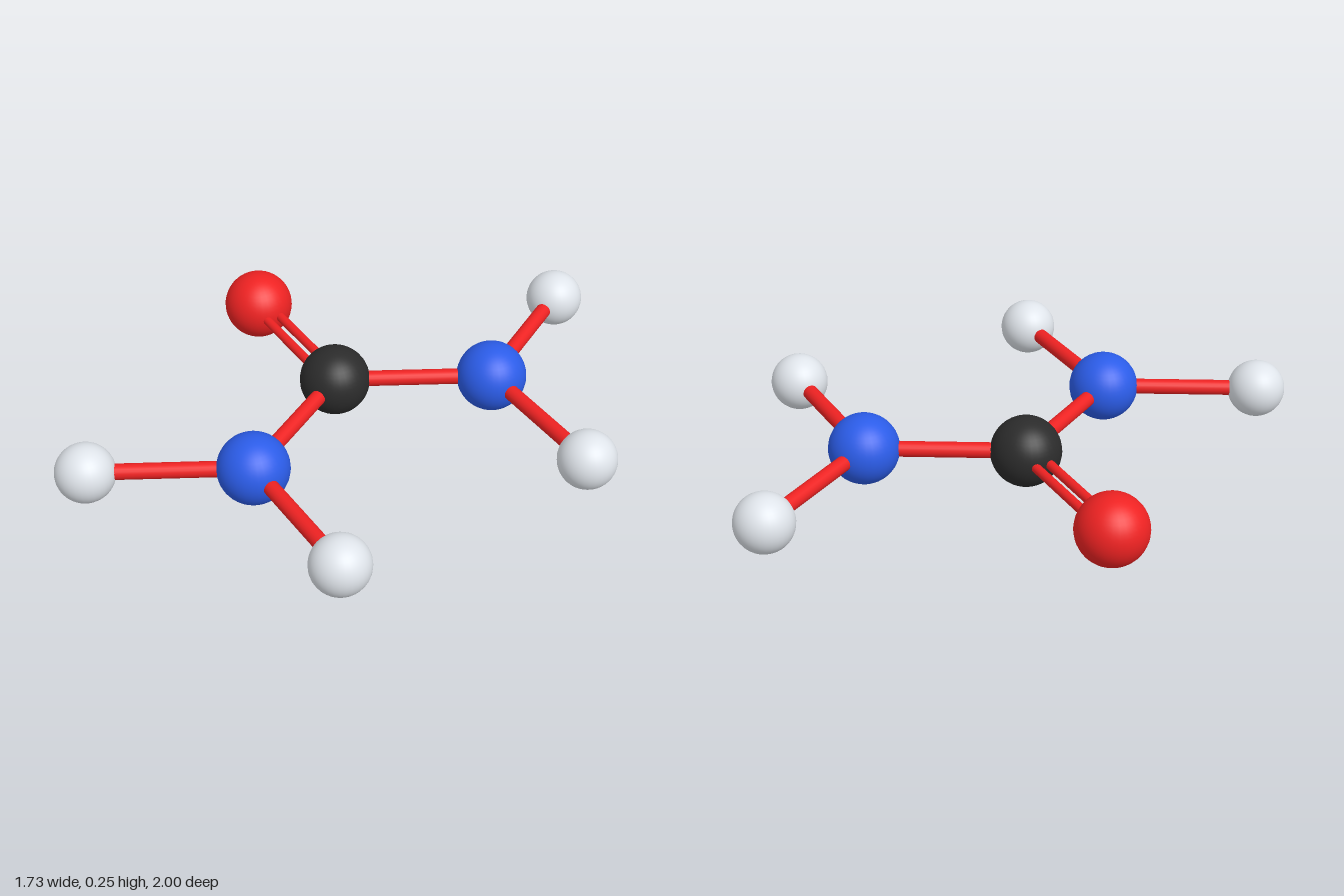
import * as THREE from 'three';

const material = (color) => new THREE.MeshStandardMaterial({ color });

export function createModel() {
  const model = new THREE.Group();
  model.name = 'ballAndStickMolecule';

  const height = 0.127; // every atom centre lies in one level plane
  const red = material(0xee2222);
  const kinds = {
    carbon: { radius: 0.127, mat: material(0x2b2b2b) },
    oxygen: { radius: 0.127, mat: red },
    nitrogen: { radius: 0.127, mat: material(0x2b5ce8) },
    hydrogen: { radius: 0.105, mat: material(0xdfe4ea) },
  };

  // Atoms: kind and position in the plane (x, z)
  const atoms = {
    carbon: ['carbon', -0.225, 0],
    oxygen: ['oxygen', -0.743, -0.243],
    backNitrogen: ['nitrogen', 0.24, -0.328],
    frontNitrogen: ['nitrogen', -0.175, 0.567],
    backHydrogen: ['hydrogen', 0.19, -0.895],
    leftHydrogen: ['hydrogen', 0.757, -0.09],
    frontLeftHydrogen: ['hydrogen', 0.342, 0.806],
    frontRightHydrogen: ['hydrogen', -0.64, 0.895],
  };
  const centre = {};
  for (const [name, [kind, x, z]] of Object.entries(atoms)) {
    const { radius, mat } = kinds[kind];
    const ball = new THREE.Mesh(new THREE.SphereGeometry(radius, 32, 24), mat);
    ball.name = name;
    ball.position.set(x, height, z);
    centre[name] = ball.position;
    model.add(ball);
  }

  // A rod between two atoms, optionally shifted sideways in the plane
  function addBond(from, to, radius = 0.028, shift = 0) {
    const a = centre[from], b = centre[to];
    const dir = b.clone().sub(a);
    const rod = new THREE.Mesh(
      new THREE.CylinderGeometry(radius, radius, dir.length(), 20), red);
    rod.name = `${from} to ${to} bond`;
    dir.normalize();
    rod.position.copy(a).add(b).multiplyScalar(0.5);
    rod.position.add(new THREE.Vector3(-dir.z, 0, dir.x).multiplyScalar(shift));
    rod.quaternion.setFromUnitVectors(new THREE.Vector3(0, 1, 0), dir);
    model.add(rod);
  }

  // Single bonds
  for (const [from, to] of [
    ['carbon', 'backNitrogen'],
    ['carbon', 'frontNitrogen'],
    ['backNitrogen', 'backHydrogen'],
    ['backNitrogen', 'leftHydrogen'],
    ['frontNitrogen', 'frontLeftHydrogen'],
    ['frontNitrogen', 'frontRightHydrogen'],
  ]) addBond(from, to);

  // Double bond: two thinner rods side by side
  for (const side of [-1, 1]) addBond('carbon', 'oxygen', 0.017, side * 0.027);

  return model;
}
